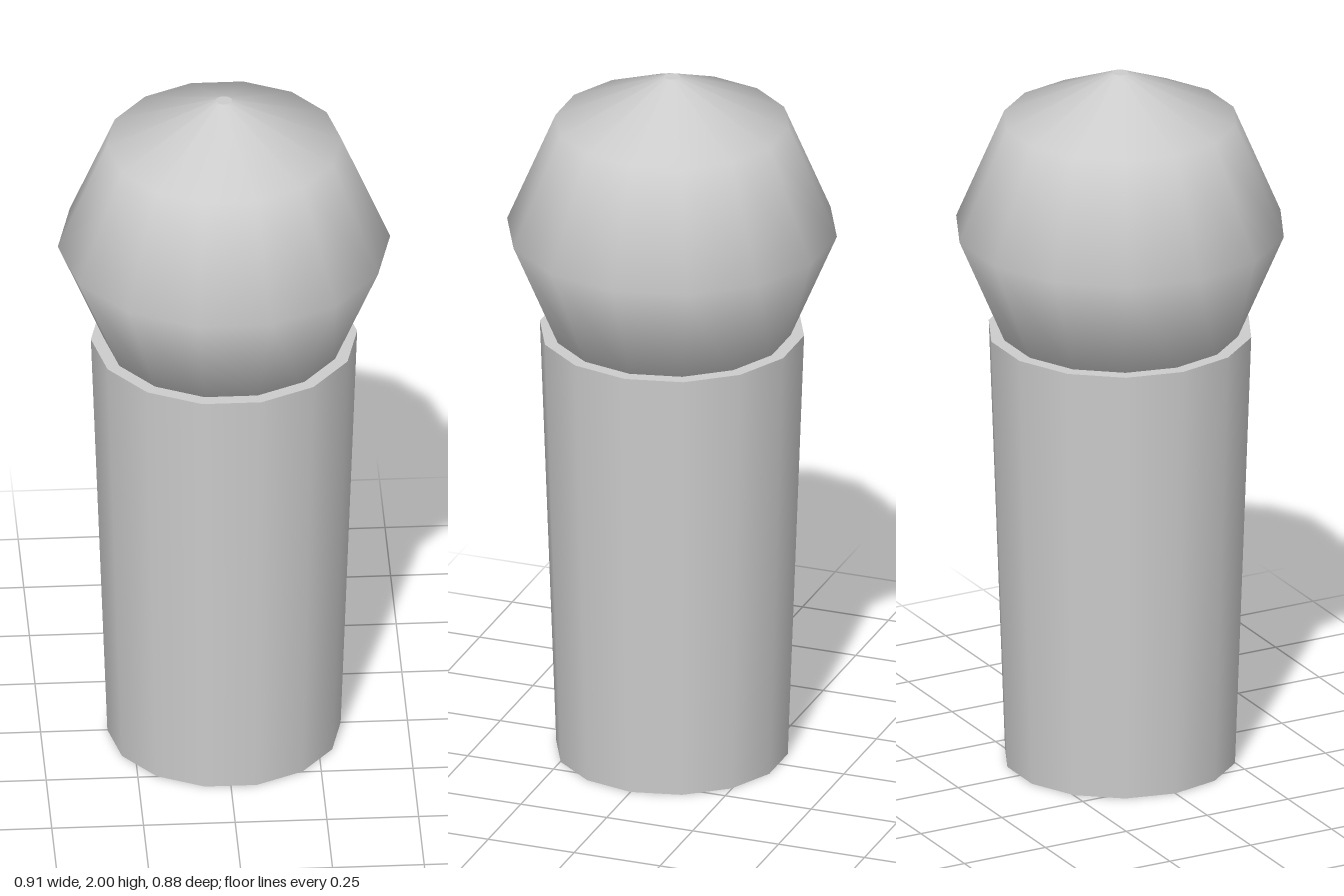
import * as THREE from 'three';

const SIDES = 14;
const START = Math.PI / 2; // puts a corner on the x axis

export function createModel() {
  const group = new THREE.Group();
  const grey = new THREE.MeshStandardMaterial({ color: 0xcccccc });
  grey.name = 'light grey';

  const add = (name, geometry, y = 0) => {
    const mesh = new THREE.Mesh(geometry, grey);
    mesh.name = name;
    mesh.position.y = y;
    group.add(mesh);
  };

  // Tapered body, closed at both ends
  add('body', new THREE.CylinderGeometry(0.363, 0.318, 1.25, SIDES, 1, false, START), 0.625);

  // Faceted ball head, its lower end sunk into the body
  const profile = [[0.02, 1.1], [0.32, 1.235], [0.453, 1.55], [0.32, 1.866], [0.022, 2]]
    .map(([r, y]) => new THREE.Vector2(r, y));
  add('head', new THREE.LatheGeometry(profile, SIDES, START));

  // Small flat disc closing the tip
  const tip = new THREE.CircleGeometry(0.022, SIDES);
  tip.rotateX(-Math.PI / 2);
  add('headTip', tip, 2);

  return group;
}
